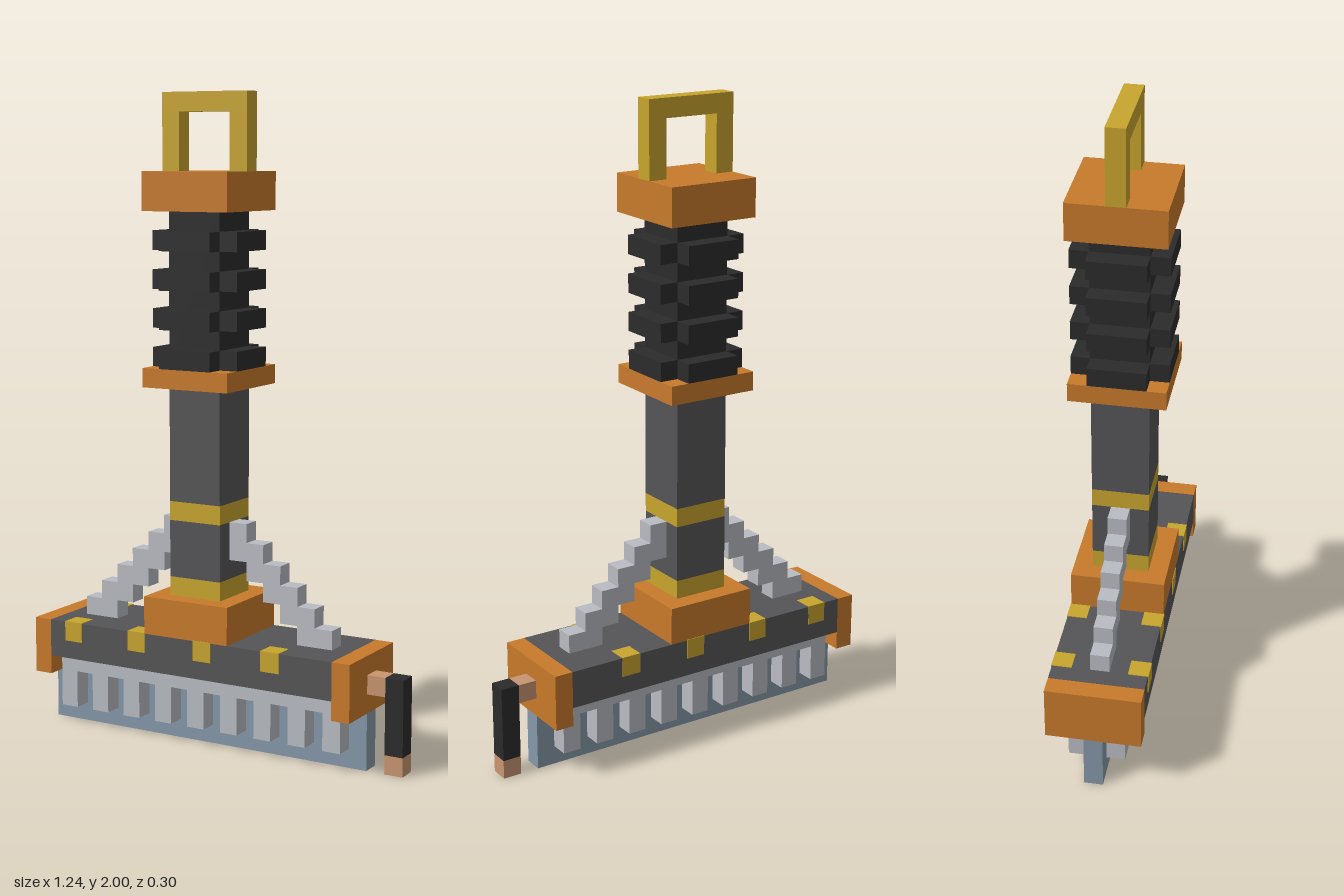
import * as THREE from 'three';

const U = 1 / 17; // size of one block
const mat = (name, color) => {
  const m = new THREE.MeshStandardMaterial({ color });
  m.name = name;
  return m;
};

export function createModel() {
  const root = new THREE.Group();
  root.name = 'blockRazor';

  const steel = mat('lightSteel', 0xb9bcc2);
  const blue = mat('bladeBlue', 0x8598a8);
  const dark = mat('darkGrey', 0x555557);
  const black = mat('gripBlack', 0x2b2b2b);
  const copper = mat('copperOrange', 0xc87a2b);
  const brass = mat('brassYellow', 0xc8a52e);
  const tan = mat('tan', 0xc89570);

  const group = (name) => {
    const g = new THREE.Group();
    g.name = name;
    root.add(g);
    return g;
  };

  // Box between block coordinates: x 0..21, y 0..34, z 0..5
  const box = (name, m, [x0, x1], [y0, y1], [z0, z1], parent = root, grow = 0) => {
    const geo = new THREE.BoxGeometry((x1 - x0) * U + grow, (y1 - y0) * U + grow, (z1 - z0) * U + grow);
    const mesh = new THREE.Mesh(geo, m);
    mesh.name = name;
    mesh.position.set(((x0 + x1) / 2 - 10.5) * U, ((y0 + y1) / 2) * U, ((z0 + z1) / 2 - 2.5) * U);
    parent.add(mesh);
    return mesh;
  };

  const FULL = [0, 5], CORE = [1, 4], MID = [2, 3];

  // Blade and comb guard
  box('blade', blue, [0, 19], [0, 3], MID);
  const guard = group('guard');
  box('guardBar', steel, [1, 18], [3, 4], CORE, guard);
  for (let x = 1; x < 18; x += 2) box('guardTooth', steel, [x, x + 1], [1, 3], CORE, guard);

  // Head with end caps and brass studs
  const head = group('head');
  box('headBody', dark, [1, 18], [4, 6], FULL, head);
  for (const x of [0, 18]) box('endCap', copper, [x, x + 1], [3, 6], FULL, head);
  for (const x of [2, 6, 10, 14])
    for (const z of [0, 4]) box('stud', brass, [x, x + 1], [5, 6], [z, z + 1], head, 0.004);

  // Stepped braces, mirrored about the shaft axis
  const braces = group('braces');
  for (let i = 0; i < 6; i++) {
    const y = [Math.max(6, 5 + i), 7 + i];
    box('braceStep', steel, [2 + i, 3 + i], y, MID, braces);
    box('braceStep', steel, [16 - i, 17 - i], y, MID, braces);
  }

  // Shaft with collar and bands
  const shaft = group('shaft');
  box('collar', copper, [7, 12], [6, 8], FULL, shaft);
  box('lowerBand', brass, [8, 11], [8, 9], CORE, shaft);
  box('lowerShaft', dark, [8, 11], [9, 12], CORE, shaft);
  box('upperBand', brass, [8, 11], [12, 13], CORE, shaft);
  box('upperShaft', dark, [8, 11], [13, 19], CORE, shaft);
  box('gripFlange', copper, [7, 12], [19, 20], FULL, shaft);

  // Ribbed grip: each rib is a cross with open corners
  const grip = group('grip');
  box('gripCore', black, [8, 11], [20, 28], CORE, grip);
  for (let y = 20; y < 28; y += 2) {
    box('gripRibSides', black, [7, 12], [y, y + 1], CORE, grip);
    box('gripRibFrontBack', black, [8, 11], [y, y + 1], FULL, grip);
  }

  // Pommel and hanging loop
  box('pommel', copper, [7, 12], [28, 30], FULL);
  const loop = group('hangingLoop');
  for (const x of [7, 11]) box('loopPost', brass, [x, x + 1], [30, 33], MID, loop);
  box('loopTop', brass, [7, 12], [33, 34], MID, loop);

  // Side lever
  const lever = group('sideLever');
  box('leverArm', tan, [19, 20], [4, 5], MID, lever);
  box('leverGrip', black, [20, 21], [1, 5], MID, lever);
  box('leverTip', tan, [20, 21], [0, 1], MID, lever);

  return root;
}
